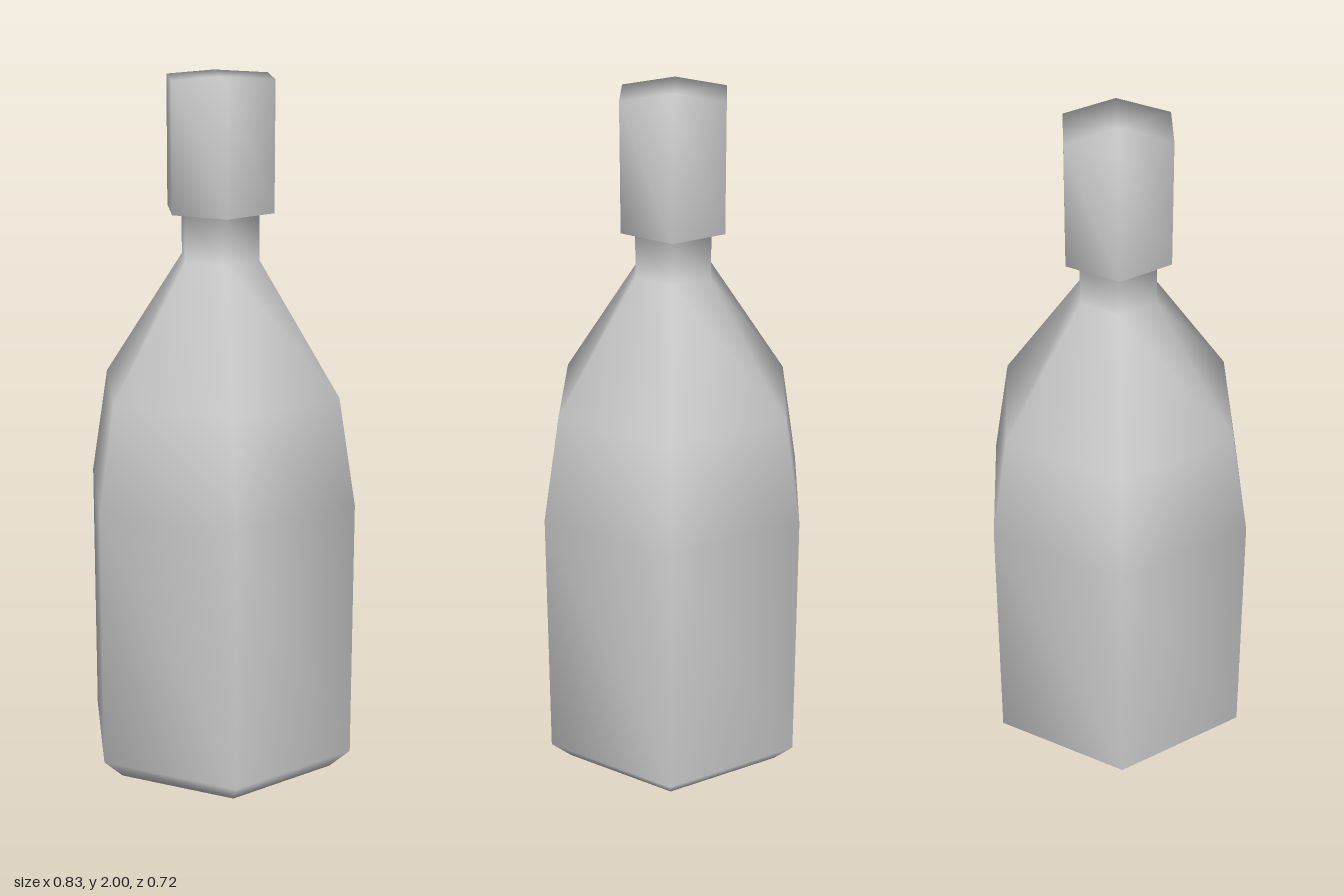
import * as THREE from 'three';
import { mergeVertices } from 'three/addons/utils/BufferGeometryUtils.js';

const CAP_BASE = 1.635;

// Six-sided outline, from the centre of the base to the centre of the cap top
const PROFILE = [
  [0, 0], [0.353, 0], [0.415, 0.06], [0.415, 0.82], [0.363, 1.13],
  [0.119, 1.5], [0.119, CAP_BASE], [0.163, CAP_BASE], [0.163, 2], [0, 2],
].map(([r, y]) => new THREE.Vector2(r, y));

// Lathe welded at seam and poles so the shading flows over every edge
function smoothHexLathe() {
  const lathe = new THREE.LatheGeometry(PROFILE, 6, Math.PI / 2);
  lathe.deleteAttribute('uv');
  lathe.deleteAttribute('normal');
  const welded = mergeVertices(lathe, 1e-4);
  welded.computeVertexNormals();
  return welded;
}

// Keep the triangles of one part, with the shared smooth normals
function pickFaces(geometry, keep) {
  const { position } = geometry.attributes;
  const index = geometry.index.array;
  const faces = [];
  for (let i = 0; i < index.length; i += 3) {
    const [a, b, c] = index.slice(i, i + 3);
    if (a === b || b === c || c === a) continue; // collapsed at a pole
    if (keep(Math.min(position.getY(a), position.getY(b), position.getY(c)))) faces.push(a, b, c);
  }
  const part = geometry.clone();
  part.setIndex(faces);
  return part;
}

export function createModel() {
  const model = new THREE.Group();
  model.name = 'bottle';
  const material = new THREE.MeshStandardMaterial({ color: 0xcccccc });
  const surface = smoothHexLathe();

  // Body with chamfered base, sloped shoulders and narrow neck
  const body = new THREE.Mesh(pickFaces(surface, (low) => low < CAP_BASE - 0.001), material);
  body.name = 'body';

  // Wider cap, including its underside around the neck
  const cap = new THREE.Mesh(pickFaces(surface, (low) => low >= CAP_BASE - 0.001), material);
  cap.name = 'cap';

  model.add(body, cap);
  return model;
}
